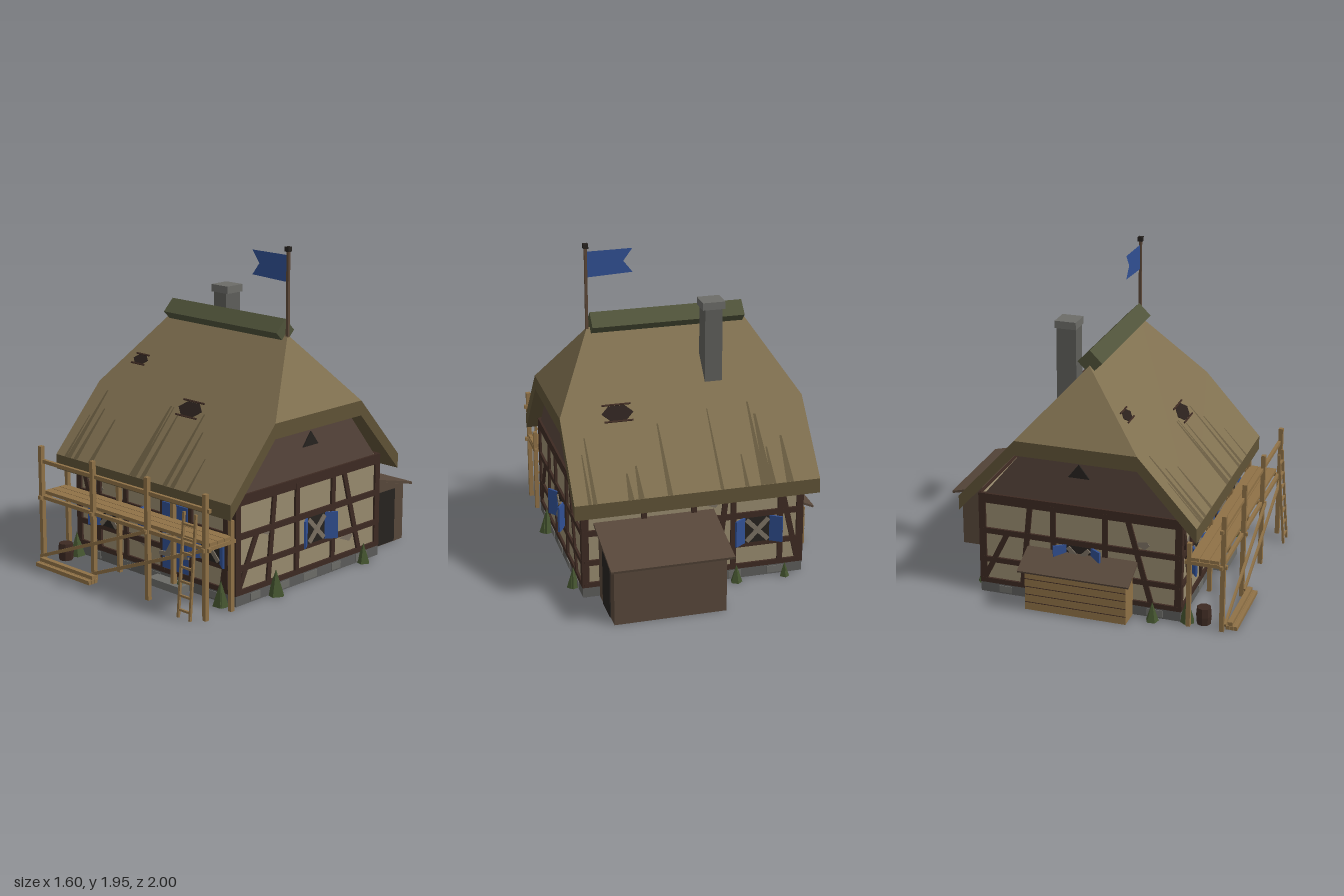
import * as THREE from 'three';

const C = {
  thatch: 0x807050, thatchEdge: 0x5f5236, streak: 0x66593f, hole: 0x2a201c, moss: 0x50533a,
  plaster: 0x978a6e, timber: 0x3d2a22, gable: 0x57453b, stone: 0x5c5c5a, stoneLight: 0x6c6c68,
  blue: 0x304f92, dark: 0x26221f, grey: 0x7a7062, pine: 0x8f7146, shed: 0x57473a, green: 0x44542f,
  chimney: 0x5e5e5a, soil: 0x444444, pole: 0x5c4838,
};
const mats = {};
const mat = (c, double) => (mats[c + (double ? 'd' : '')] ??= new THREE.MeshStandardMaterial({
  color: c, flatShading: true, side: double ? THREE.DoubleSide : THREE.FrontSide }));

function add(parent, name, geo, color, x = 0, y = 0, z = 0, double = false) {
  const m = new THREE.Mesh(geo, mat(color, double));
  m.name = name;
  m.position.set(x, y, z);
  parent.add(m);
  return m;
}
function box(parent, name, color, w, h, d, x, y, z, rz = 0) {
  const m = add(parent, name, new THREE.BoxGeometry(w, h, d), color, x, y, z);
  m.rotation.z = rz;
  return m;
}
// Square bar between two points
function bar(parent, name, color, a, b, w, d = w) {
  const A = new THREE.Vector3(...a), B = new THREE.Vector3(...b), dir = B.clone().sub(A);
  const m = add(parent, name, new THREE.BoxGeometry(w, dir.length(), d), color);
  m.position.copy(A).add(B).multiplyScalar(0.5);
  m.quaternion.setFromUnitVectors(new THREE.Vector3(0, 1, 0), dir.normalize());
  return m;
}
const shape = (pts) => new THREE.Shape(pts.map(([x, y]) => new THREE.Vector2(x, y)));
const plate = (pts, depth) => new THREE.ExtrudeGeometry(shape(pts), { depth, bevelEnabled: false });
function group(parent, name, x = 0, y = 0, z = 0, ry = 0) {
  const g = new THREE.Group();
  g.name = name;
  g.position.set(x, y, z);
  g.rotation.y = ry;
  parent.add(g);
  return g;
}
// Flat-sided surface from convex corner loops
function polygons(polys) {
  const v = [];
  for (const p of polys) for (let i = 1; i < p.length - 1; i++) v.push(...p[0], ...p[i], ...p[i + 1]);
  const g = new THREE.BufferGeometry();
  g.setAttribute('position', new THREE.Float32BufferAttribute(v, 3));
  g.computeVertexNormals();
  return g;
}

const CX = 0.05, CZ = 0.04, HX = 0.66, HZ = 0.612;   // house centre and half size

function roof(root) {
  const L = -0.685, R = 0.78, F = 0.765, B = -0.683, e = 0.637, h = 1.03, t = 0.09;
  const P = [[L, e, F], [R, e, F], [R, h, 0.41], [R, h, -0.328], [R, e, B], [L, e, B],
    [L, h, -0.328], [L, h, 0.41], [0.53, 1.44, 0.041], [-0.425, 1.44, 0.041]];
  const low = P.map(([x, y, z]) => [x, y - t, z]);
  const tops = [[0, 1, 2, 8, 9, 7], [2, 3, 8], [4, 5, 6, 9, 8, 3], [6, 7, 9]];
  const under = tops.map((f) => [...f].reverse().map((i) => low[i]));
  for (let i = 0; i < 8; i++) {
    const j = (i + 1) % 8;
    under.push([low[i], low[j], P[j], P[i]]);
  }
  add(root, 'thatchRoof', polygons(tops.map((f) => f.map((i) => P[i]))), C.thatch);
  add(root, 'thatchEdge', polygons(under), C.thatchEdge);
  box(root, 'ridgeCap', C.moss, 0.93, 0.105, 0.105, 0.047, 1.457, 0.041).rotation.x = Math.PI / 4;

  // Streaks [x, width, length] and worn holes [x, height, size] on both slopes
  const slopes = [
    { ry: 0, streaks: [[-0.6, 0.02, 0.3], [-0.57, 0.04, 0.48], [-0.51, 0.035, 0.36], [-0.38, 0.035, 0.31], [-0.015, 0.045, 0.48],
      [0.01, 0.025, 0.48], [0.07, 0.035, 0.43], [0.26, 0.035, 0.48], [0.32, 0.035, 0.37], [0.44, 0.02, 0.22]],
      holes: [[0.135, 0.49, 0.19], [-0.455, 0.73, 0.125]] },
    { ry: Math.PI, streaks: [[0.5, 0.045, 0.29], [0.4, 0.03, 0.23], [0.37, 0.05, 0.44], [0.34, 0.035, 0.52], [0.24, 0.025, 0.2],
      [0.09, 0.02, 0.5], [-0.22, 0.03, 0.44], [-0.39, 0.035, 0.2], [-0.45, 0.035, 0.16], [-0.66, 0.025, 0.4], [-0.69, 0.02, 0.3]],
      holes: [[-0.44, 0.53, 0.19]] }];
  for (const s of slopes) {
    const side = group(root, 'roofDetails', 0, 0, 0.041, s.ry);
    const g = group(side, 'slope', 0, 0.637, 0.724);
    g.rotation.x = -Math.atan2(0.724, 0.803);
    for (const [x, w, l] of s.streaks)
      add(g, 'thatchStreak', new THREE.ShapeGeometry(shape([[x - w / 2, 0], [x + w / 2, 0], [x + w * 0.15, l], [x - w * 0.15, l]])),
        C.streak, 0, 0, 0.003);
    for (const [x, y, w] of s.holes) {
      const q = w * 0.24;
      add(g, 'roofHole', plate([[-w / 2, 0], [-w / 4, -q], [w / 4, -q], [w / 2, 0], [w / 4, q], [-w / 4, q]], 0.003), C.hole, x, y);
      for (const k of [-1, 1]) box(g, 'exposedBatten', C.timber, w * 0.9, 0.009, 0.008, x, y + k * w * 0.27, 0.005);
    }
  }
}

function windowUnit(face, u, y = 0.31) {
  const g = group(face, 'window', u, y, 0);
  box(g, 'pane', C.dark, 0.155, 0.16, 0.02, 0, 0, 0.005);
  for (const k of [-1, 1]) {
    box(g, 'crossedBoard', C.grey, 0.19, 0.027, 0.01, 0, 0, 0.02 + k * 0.003, k * 0.8);
    const hinge = group(g, 'shutter', k * 0.078, 0, 0.012, -k * 0.6);
    box(hinge, 'shutterPanel', C.blue, 0.08, 0.163, 0.012, k * 0.04, 0, 0);
  }
}

// One timbered wall: rails, posts, braces and footing stones, z outward
function wall(root, name, ry, dist, half, posts, braces, windows, patches) {
  const g = group(root, name, CX + Math.sin(ry) * dist, 0, CZ + Math.cos(ry) * dist, ry);
  for (const [y, h] of [[0.08, 0.03], [0.22, 0.033], [0.407, 0.035], [0.617, 0.06]])
    box(g, 'rail', C.timber, half * 2, h, 0.024, 0, y, 0.002);
  for (const u of posts) box(g, 'post', C.timber, 0.032, 0.54, 0.026, u, 0.35, 0.002);
  for (const [a, b] of braces) bar(g, 'brace', C.timber, [...a, 0.002], [...b, 0.002], 0.032, 0.022);
  for (const u of windows) windowUnit(g, u);
  for (const [u, y] of patches)
    add(g, 'bareDaub', plate([[-0.06, 0.01], [0.03, -0.025], [0.06, 0.005], [0.04, 0.025]], 0.003), C.grey, u, y, 0);
  for (let i = 0; i < 5; i++)
    box(g, 'footingStone', C.stoneLight, 0.08 + (i % 3) * 0.02, 0.042, 0.01, (i - 2) * half * 0.38, 0.034, 0.01);
  return g;
}

function house(root) {
  box(root, 'foundation', C.stone, HX * 2 + 0.02, 0.062, HZ * 2 + 0.02, CX, 0.034, CZ);
  box(root, 'groundSlab', C.soil, HX * 2 + 0.01, 0.006, HZ * 2 + 0.01, CX, 0.003, CZ);
  box(root, 'plasterWalls', C.plaster, HX * 2, 0.58, HZ * 2, CX, 0.355, CZ);
  for (const i of [-1, 1]) for (const k of [-1, 1])
    box(root, 'cornerPost', C.timber, 0.042, 0.58, 0.042, CX + i * (HX - 0.008), 0.355, CZ + k * (HZ - 0.008));
  const gable = add(root, 'gableBoards', plate([[-0.585, 0], [0.585, 0], [0.275, 0.38], [-0.275, 0.38]], HX * 2), C.gable, CX - HX, 0.645, CZ);
  gable.rotation.y = Math.PI / 2;

  const front = wall(root, 'frontWall', 0, HZ, HX, [-0.47, -0.235, 0.08, 0.31, 0.59],
    [[[-0.62, 0.58], [-0.455, 0.07]], [[0.64, 0.58], [0.56, 0.09]]], [-0.375, 0.475], [[-0.08, 0.19], [-0.5, 0.45]]);
  const side = [[[-0.355, 0.09], [-0.305, 0.59]], [[0.3, 0.59], [0.44, 0.09]], [[-0.6, 0.09], [-0.45, 0.4]]];
  const right = wall(root, 'rightWall', Math.PI / 2, HX, HZ, [-0.115, 0.2], side, [0.045], [[-0.37, 0.385], [0.33, 0.18]]);
  const left = wall(root, 'leftWall', -Math.PI / 2, HX, HZ, [-0.16, 0.16], side, [0], [[0.37, 0.45]]);
  wall(root, 'backWall', Math.PI, HZ, HX, [-0.3, 0.0, 0.24, 0.53],
    [[[0.53, 0.58], [0.64, 0.09]], [[0.2, 0.58], [0.14, 0.09]]], [0.385], [[0.1, 0.5]]);
  for (const g of [right, left])
    add(g, 'gableVent', plate([[-0.065, 0], [0.065, 0], [0, 0.085]], 0.008), C.dark, 0, 0.82, 0);

  // Boarded-up door, step and shield
  box(front, 'door', C.blue, 0.21, 0.4, 0.03, 0.193, 0.3, 0.005);
  for (const [y, r] of [[0.2, 0.1], [0.31, 0.12], [0.39, -0.08]]) box(front, 'doorBoard', C.grey, 0.24, 0.026, 0.012, 0.193, y, 0.027, r);
  bar(front, 'doorBoard', C.grey, [0.13, 0.18, 0.034], [0.26, 0.4, 0.034], 0.024, 0.01);
  box(front, 'doorStep', C.stoneLight, 0.26, 0.045, 0.09, 0.17, 0.0225, 0.05);
  add(front, 'shield', plate([[-0.06, 0.1], [-0.06, 0.04], [0, -0.015], [0.06, 0.04], [0.06, 0.1], [0, 0.125]], 0.02), C.blue, -0.08, 0.305, 0.01);

  box(root, 'chimney', C.chimney, 0.105, 0.5, 0.122, -0.165, 1.33, -0.174);
  box(root, 'chimneyCap', C.stoneLight, 0.135, 0.045, 0.13, -0.165, 1.598, -0.174);
  box(root, 'flagPole', C.pole, 0.016, 0.52, 0.016, 0.53, 1.67, 0.041);
  box(root, 'poleTip', C.dark, 0.03, 0.028, 0.03, 0.53, 1.935, 0.041);
  add(root, 'flag', new THREE.ShapeGeometry(shape([[0.525, 1.745], [0.525, 1.9], [0.25, 1.902], [0.305, 1.828], [0.25, 1.757]])),
    C.blue, 0, 0, 0.041, true);
}

function outbuildings(root) {
  // Lean-to shed at the back: three thin walls, no floor
  const profile = [[0.57, 0], [0.945, 0], [0.945, 0.355], [0.57, 0.45]];
  for (const x of [-0.04, 0.595])
    add(root, 'shedSideWall', plate(profile, 0.025), C.shed, x, 0, 0).rotation.y = Math.PI / 2;
  box(root, 'shedBackWall', C.shed, 0.66, 0.355, 0.025, 0.29, 0.1775, -0.9325);
  bar(root, 'shedRoof', C.shed, [0.288, 0.462, -0.57], [0.288, 0.356, -0.998], 0.72, 0.015);
  box(root, 'shedDoor', C.dark, 0.012, 0.34, 0.175, 0.62, 0.175, -0.77);

  // Plank bin against the left wall with a sloping lid
  box(root, 'storageBin', C.pine, 0.14, 0.25, 0.62, -0.685, 0.125, 0.06);
  for (let i = 1; i < 5; i++) box(root, 'binPlankSeam', C.timber, 0.004, 0.004, 0.62, -0.755, i * 0.05, 0.06);
  box(root, 'binLid', C.shed, 0.2, 0.013, 0.68, -0.708, 0.301, 0.06, 0.41);
}

function scaffold(root) {
  const g = group(root, 'scaffold');
  for (const x of [-0.645, -0.185, 0.275, 0.735]) {
    box(g, 'outerPost', C.pine, 0.027, 0.725, 0.027, x, 0.3625, 0.915);
    box(g, 'innerPost', C.pine, 0.025, 0.53, 0.025, x, 0.265, 0.715);
    box(g, 'crossBearer', C.pine, 0.022, 0.022, 0.25, x, 0.408, 0.815);
  }
  for (const z of [0.748, 0.806, 0.864]) box(g, 'platformBoard', C.pine, 1.4, 0.02, 0.054, 0.045, 0.432, z);
  for (const y of [0.408, 0.632]) box(g, 'guardRail', C.pine, 1.44, 0.022, 0.02, 0.045, y, 0.908);
  box(g, 'innerRail', C.pine, 1.4, 0.022, 0.018, 0.045, 0.41, 0.715);
  bar(g, 'diagonalBrace', C.pine, [-0.65, 0.04, 0.934], [0.28, 0.41, 0.934], 0.02, 0.014);
  bar(g, 'diagonalBrace', C.pine, [-0.19, 0.04, 0.932], [0.74, 0.41, 0.932], 0.02, 0.014);
  // Ladder and stacked planks
  for (const x of [0.594, 0.686]) bar(g, 'ladderRail', C.pine, [x, 0.002, 0.988], [x, 0.602, 0.938], 0.014);
  for (let i = 0; i < 7; i++) {
    const t = 0.08 + i * 0.135;
    box(g, 'ladderRung', C.pine, 0.095, 0.012, 0.012, 0.64, 0.6 * t, 0.988 - 0.05 * t);
  }
  for (let i = 0; i < 3; i++) box(g, 'sparePlank', C.pine, 0.48, 0.024, 0.022, -0.38, 0.012, 0.942 + i * 0.0235);
  box(g, 'sparePlank', C.pine, 0.47, 0.022, 0.03, -0.38, 0.035, 0.955);
  // Water barrel
  const pts = [[0, 0], [0.042, 0], [0.047, 0.052], [0.042, 0.105], [0, 0.105]].map(([x, y]) => new THREE.Vector2(x, y));
  add(g, 'barrel', new THREE.LatheGeometry(pts, 8), C.timber, -0.585, 0, 0.792);
}

function shrubs(root) {
  // One broad cone with two smaller ones beside it
  for (const [x, z, h] of [[-0.595, 0.695, 0.15], [0.31, 0.7, 0.1], [0.635, 0.695, 0.15], [0.742, 0.355, 0.155],
    [0.742, -0.42, 0.125], [-0.2, -0.62, 0.11], [-0.655, 0.5, 0.12], [-0.5, -0.62, 0.09]]) {
    const g = group(root, 'shrub', x, 0, z, x * 9);
    for (const [dx, s] of [[0, 1], [0.14, 0.6], [-0.14, 0.5]])
      add(g, 'shrubCone', new THREE.ConeGeometry(h * s * 0.33, h * s, 5), C.green, dx * h, h * s / 2, 0);
  }
}

export function createModel() {
  const root = new THREE.Group();
  root.name = 'thatchedCottage';
  for (const build of [house, roof, outbuildings, scaffold, shrubs]) build(root);
  return root;
}
